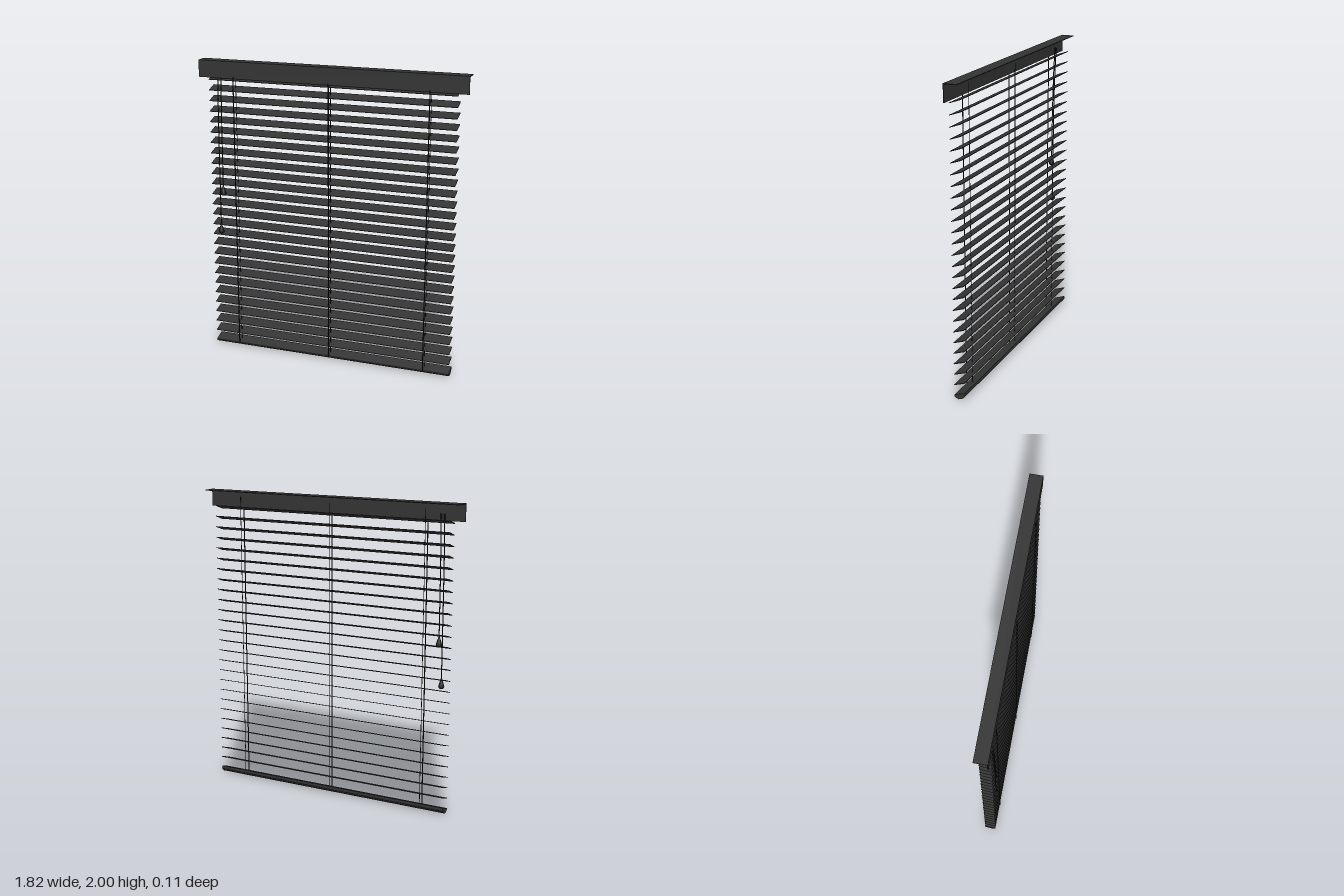
import * as THREE from 'three';

const dark = new THREE.MeshStandardMaterial({ color: 0x333333 });
const black = new THREE.MeshStandardMaterial({ color: 0x1c1c1c });

const SLAT_WIDTH = 1.684, SLAT_COUNT = 26, SLAT_PITCH = 0.0712, FIRST_SLAT = 0.106;

function add(parent, name, geometry, material, x = 0, y = 0, z = 0) {
  const mesh = new THREE.Mesh(geometry, material);
  mesh.name = name;
  mesh.position.set(x, y, z);
  parent.add(mesh);
  return mesh;
}

// Extrudes a (z, y) outline along x, centred on x = 0
function alongX(points, width) {
  const shape = new THREE.Shape(points.map(([z, y]) => new THREE.Vector2(-z, y)));
  const geometry = new THREE.ExtrudeGeometry(shape, { depth: width, bevelEnabled: false });
  return geometry.translate(0, 0, -width / 2).rotateY(Math.PI / 2);
}

function cord(parent, name, points, radius) {
  const path = new THREE.CatmullRomCurve3(points.map(p => new THREE.Vector3(...p)));
  add(parent, name, new THREE.TubeGeometry(path, points.length * 4, radius, 6), black);
}

export function createModel() {
  const model = new THREE.Group();
  model.name = 'venetianBlind';

  // Headrail cover: thin L of top plate and front valance
  add(model, 'valance', alongX([
    [0.03, 1.887], [0.03, 2], [-0.055, 2], [-0.055, 1.995], [0.025, 1.995], [0.025, 1.887],
  ], 1.824), dark);

  // Tilted slats, front edge low
  const slats = new THREE.Group();
  slats.name = 'slats';
  model.add(slats);
  const slatGeometry = new THREE.BoxGeometry(SLAT_WIDTH, 0.004, 0.078);
  for (let i = 0; i < SLAT_COUNT; i++) {
    const slat = add(slats, 'slat', slatGeometry, dark, 0, FIRST_SLAT + i * SLAT_PITCH, -0.007);
    slat.rotation.x = 0.33;
  }

  // Bottom rail with a rounded underside
  add(model, 'bottomRail', alongX([
    [0.03, 0.024], [-0.044, 0.05], [-0.045, 0.03], [-0.036, 0.017],
    [-0.02, 0.006], [0, 0], [0.016, 0.006], [0.029, 0.015],
  ], SLAT_WIDTH), dark);

  // Ladder cords in front of and through the slats
  for (const x of [-0.665, 0, 0.665]) {
    cord(model, 'frontLadderCord', [[x, 0.015, 0.031], [x, 1.9, 0.031]], 0.0035);
    cord(model, 'innerLadderCord', [[x, 0.03, -0.01], [x, 1.96, -0.01]], 0.002);
  }

  // Pull cords with teardrop tassels
  const tasselProfile = [
    [0, 0], [0.012, 0.001], [0.018, 0.008], [0.019, 0.017],
    [0.014, 0.035], [0.007, 0.055], [0.004, 0.068], [0, 0.07],
  ].map(([r, y]) => new THREE.Vector2(r, y));
  const tasselGeometry = new THREE.LatheGeometry(tasselProfile, 16);
  for (const [x, y] of [[-0.778, 0.82], [-0.755, 1.09]]) {
    const pull = new THREE.Group();
    pull.name = 'pullCord';
    model.add(pull);
    cord(pull, 'cord', [[x, y + 0.06, 0.036], [x, 1.5, 0.033], [x, 1.75, 0.028], [x, 1.93, 0.02]], 0.0035);
    add(pull, 'tassel', tasselGeometry, black, x, y, 0.036);
  }

  return model;
}
